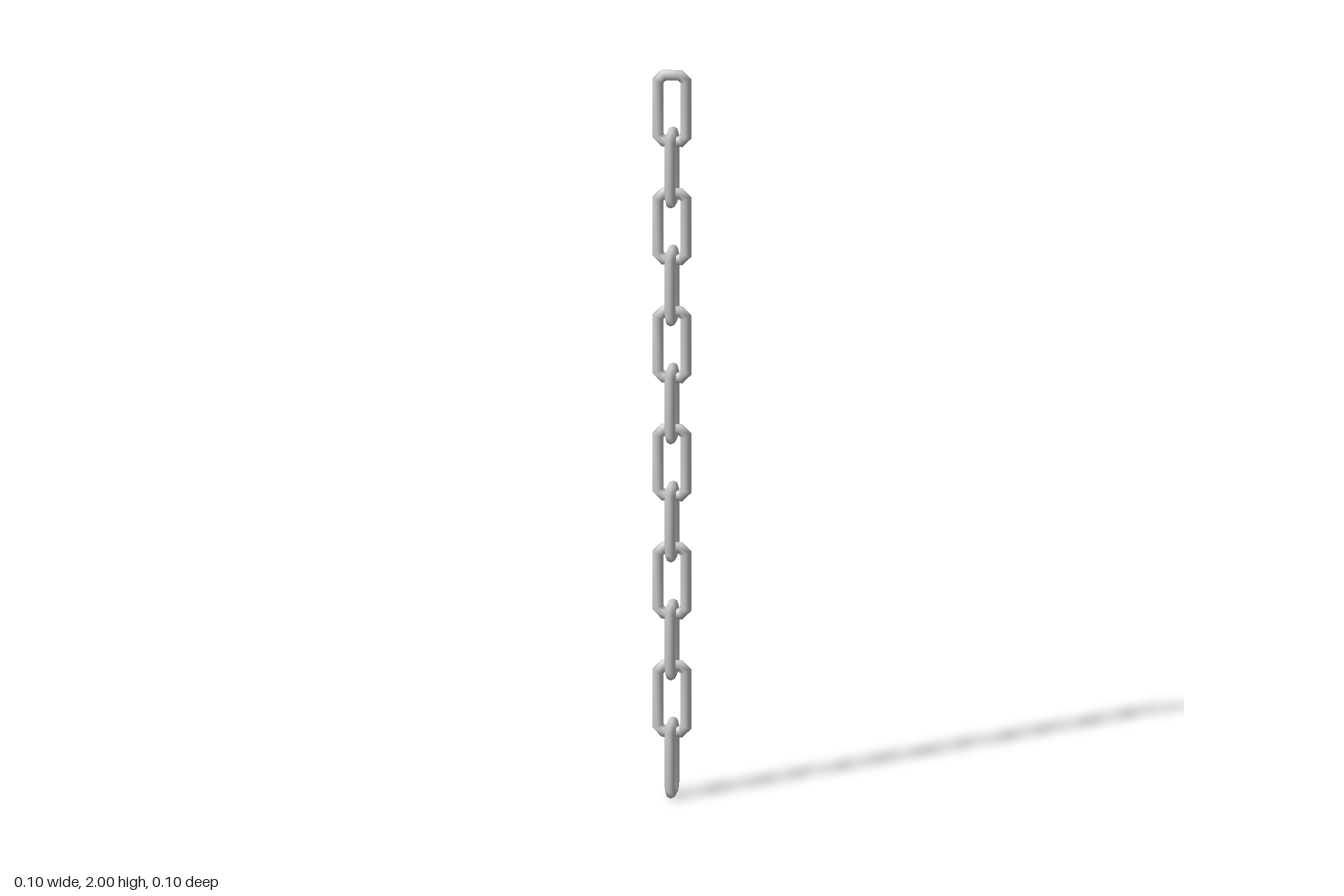
import * as THREE from 'three';

const LINKS = 12, LINK_HEIGHT = 0.2125, PITCH = 0.1625;
const WIRE = 0.0148, SIDES = 8;

// Closed tube swept round a rectangle with chamfered corners, mitred at every bend
function linkGeometry() {
  const w = 0.0525 - WIRE, h = LINK_HEIGHT / 2 - WIRE, c = 0.016;
  const path = [
    [w, h - c], [w - c, h], [-w + c, h], [-w, h - c],
    [-w, -h + c], [-w + c, -h], [w - c, -h], [w, -h + c],
  ].map(([x, y]) => new THREE.Vector2(x, y));
  const n = path.length;
  const positions = [], index = [];
  path.forEach((p, i) => {
    const before = p.clone().sub(path[(i + n - 1) % n]).normalize();
    const after = path[(i + 1) % n].clone().sub(p).normalize();
    const along = before.clone().add(after).normalize();
    const outward = new THREE.Vector2(along.y, -along.x);
    const mitre = 1 / along.dot(after);
    for (let j = 0; j < SIDES; j++) {
      const a = (j / SIDES) * Math.PI * 2;
      const d = Math.cos(a) * WIRE * mitre;
      positions.push(p.x + outward.x * d, p.y + outward.y * d, Math.sin(a) * WIRE);
      const k = (j + 1) % SIDES, next = ((i + 1) % n) * SIDES;
      const A = i * SIDES + j, B = next + j, C = next + k, D = i * SIDES + k;
      index.push(A, B, C, A, C, D);
    }
  });
  const geometry = new THREE.BufferGeometry();
  geometry.setAttribute('position', new THREE.Float32BufferAttribute(positions, 3));
  geometry.setIndex(index);
  geometry.computeVertexNormals();
  return geometry;
}

export function createModel() {
  const chain = new THREE.Group();
  chain.name = 'chain';
  const material = new THREE.MeshStandardMaterial({ color: 0xcccccc });
  const geometry = linkGeometry();

  // Links hang from the top, each turned a quarter from the one above
  for (let i = 0; i < LINKS; i++) {
    const link = new THREE.Mesh(geometry, material);
    link.name = `link${i + 1}`;
    link.position.y = 2 - LINK_HEIGHT / 2 - i * PITCH;
    link.rotation.y = (i % 2) * Math.PI / 2;
    chain.add(link);
  }
  return chain;
}
